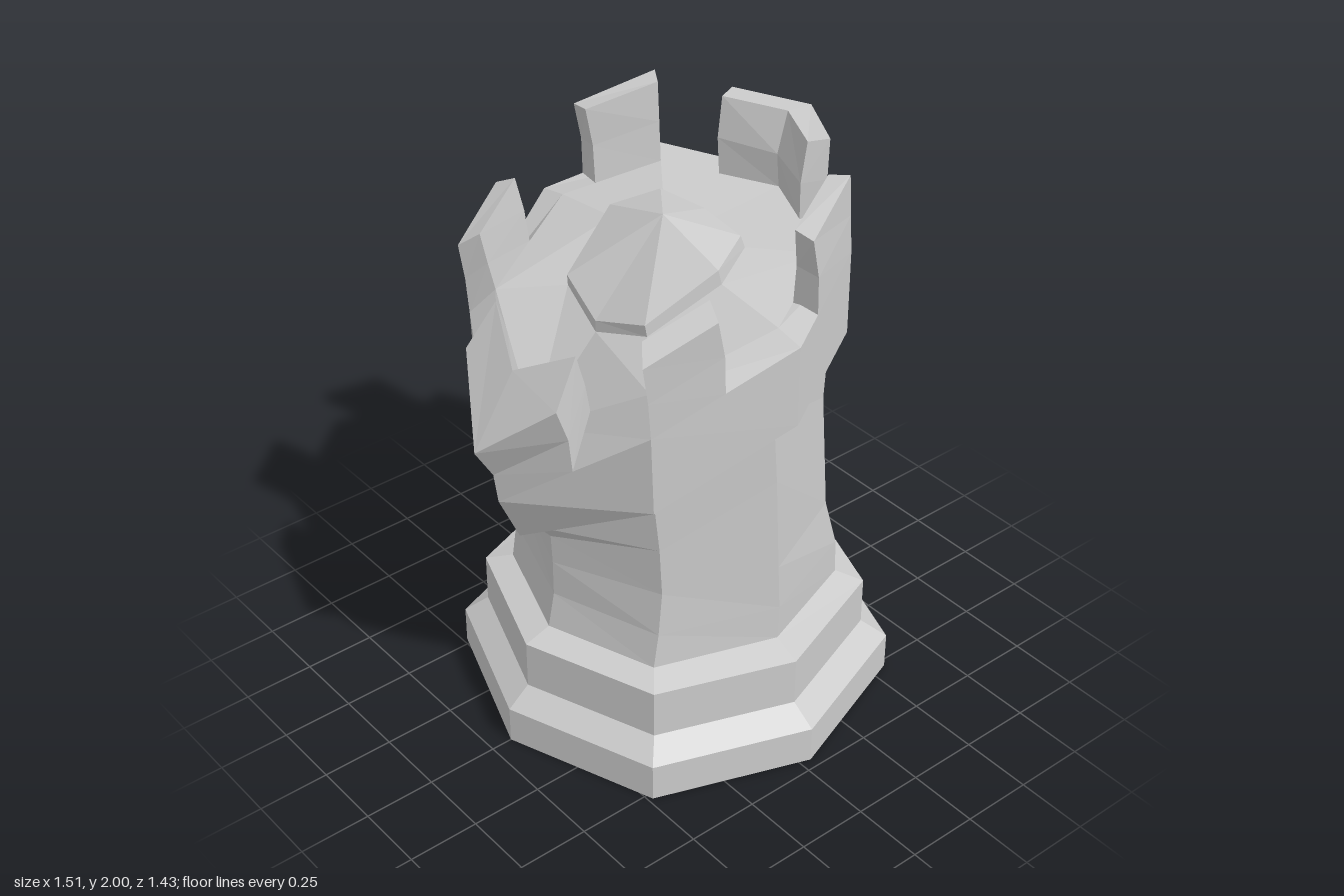
import * as THREE from 'three';

const material = new THREE.MeshStandardMaterial({ color: 0xcccccc, flatShading: true });
const DIAG = 0.733; // depth of the diagonal corners relative to the front corner

// Eight corners from five (x, y) stations running +x to -x, mirrored front to back.
function ring(depth, ...s) {
  const z = [0, DIAG, 1, DIAG, 0, -DIAG, -1, -DIAG];
  return z.map((k, i) => {
    const [x, y] = s[i < 5 ? i : 8 - i];
    return new THREE.Vector3(x, y, k * depth);
  });
}
const level = (r, y, cx = 0.04) =>
  ring(r, ...[1, DIAG, 0, -DIAG, -1].map(k => [cx + k * r, y]));
const point = (x, y) => ring(0, ...Array(5).fill([x, y]));

// Position at a fractional corner number on a ring.
function at(r, u) {
  const v = (u + 8) % 8, i = Math.floor(v);
  return r[i].clone().lerp(r[(i + 1) % 8], v - i);
}

function quad(out, a, b, c, d) {
  for (const t of [[a, b, c], [a, c, d]]) {
    const area = new THREE.Triangle(...t).getArea();
    if (area > 1e-7) t.forEach(p => out.push(p.x, p.y, p.z));
  }
}

function mesh(name, positions) {
  const g = new THREE.BufferGeometry();
  g.setAttribute('position', new THREE.Float32BufferAttribute(positions, 3));
  g.computeVertexNormals();
  const m = new THREE.Mesh(g, material);
  m.name = name;
  return m;
}

// Skin over rings, stacked from bottom to top, at the given corner numbers.
function skin(rings, us) {
  const out = [];
  for (let i = 0; i + 1 < rings.length; i++)
    for (let j = 0; j + 1 < us.length; j++)
      quad(out, at(rings[i], us[j]), at(rings[i + 1], us[j]),
        at(rings[i + 1], us[j + 1]), at(rings[i], us[j + 1]));
  return out;
}
const ALL = [0, 1, 2, 3, 4, 5, 6, 7, 8];

// Battlement: a slice of the shell with closed ends.
function merlon(shell, us) {
  const out = skin(shell, us);
  const end = (u, flip) => {
    const p = shell.map(r => at(r, u));
    for (const f of [[0, 5, 4, 1], [1, 4, 3, 2]])
      quad(out, ...(flip ? f.reverse() : f).map(i => p[i]));
  };
  end(us[0], false);
  end(us[us.length - 1], true);
  return mesh('battlement', out);
}

export function createModel() {
  const model = new THREE.Group();
  model.name = 'bentRook';

  // Stepped foot
  const shaftFoot = ring(0.525, [0.575, 0.405], [0.435, 0.405], [0.045, 0.405], [-0.365, 0.405], [-0.5, 0.405]);
  model.add(mesh('foot', skin([
    point(0.04, 0), level(0.715, 0), level(0.715, 0.135),
    level(0.63, 0.2, 0.035), level(0.63, 0.375, 0.035), shaftFoot,
  ], ALL)));

  // Leaning shaft
  const shaftTop = ring(0.525, [0.49, 1.4], [0.355, 1.39], [0, 1.295], [-0.365, 1.09], [-0.53, 0.83]);
  model.add(mesh('shaft', skin([
    shaftFoot,
    ring(0.525, [0.57, 0.53], [0.43, 0.53], [0.05, 0.53], [-0.345, 0.53], [-0.475, 0.53]),
    ring(0.525, [0.515, 0.72], [0.375, 0.72], [0.04, 0.7], [-0.33, 0.69], [-0.475, 0.66]),
    ring(0.525, [0.475, 1.17], [0.34, 1.16], [0.02, 1.05], [-0.34, 0.87], [-0.48, 0.77]),
    shaftTop,
  ], ALL)));

  // Crown wall, rim and sloping floor
  const baseOut = ring(0.63, [0.595, 1.71], [0.355, 1.73], [0, 1.61], [-0.435, 1.38], [-0.675, 1.0]);
  const baseIn = ring(0.53, [0.47, 1.72], [0.3, 1.71], [0, 1.63], [-0.38, 1.48], [-0.53, 1.22]);
  const capFoot = ring(0.27, [0.18, 1.7], [0.155, 1.7], [0, 1.66], [-0.235, 1.53], [-0.28, 1.47]);
  model.add(mesh('crown', skin([
    shaftTop,
    ring(0.63, [0.57, 1.42], [0.355, 1.44], [0, 1.33], [-0.425, 1.1], [-0.6, 0.83]),
    baseOut, baseIn, capFoot,
  ], ALL)));

  // Low pointed cap in the middle of the floor
  model.add(mesh('cap', skin([
    capFoot,
    ring(0.265, [0.16, 1.75], [0.14, 1.745], [-0.01, 1.71], [-0.24, 1.57], [-0.28, 1.51]),
    point(-0.01, 1.79),
  ], ALL)));

  // Six battlements with a slight kink halfway up
  const shell = [
    baseOut,
    ring(0.63, [0.58, 1.83], [0.345, 1.86], [0, 1.74], [-0.445, 1.51], [-0.69, 1.11]),
    ring(0.63, [0.6, 1.97], [0.335, 2.0], [-0.035, 1.87], [-0.465, 1.64], [-0.755, 1.22]),
    ring(0.55, [0.5, 1.98], [0.3, 1.99], [-0.03, 1.89], [-0.42, 1.69], [-0.6, 1.46]),
    ring(0.54, [0.46, 1.84], [0.3, 1.85], [0, 1.76], [-0.4, 1.58], [-0.55, 1.33]),
    baseIn,
  ];
  const slices = [[-0.5, 0, 0.5], [1, 1.667], [2.5, 3], [3.5, 4, 4.5], [5, 5.5], [6.333, 7]];
  for (const us of slices) model.add(merlon(shell, us));
  return model;
}
